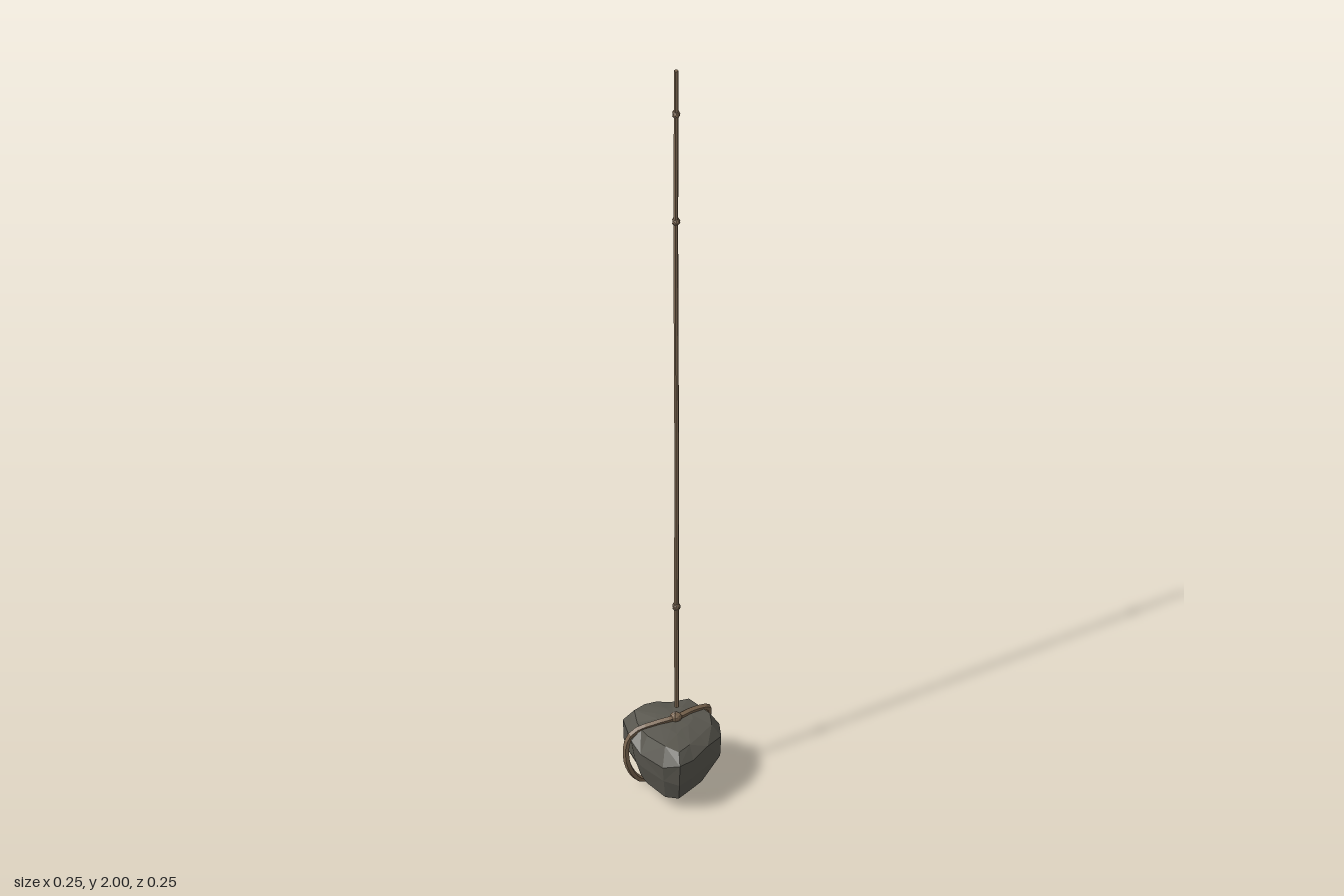
import * as THREE from 'three';

export function createModel() {
  const model = new THREE.Group();
  model.name = 'hangingStone';

  const material = (name, color) => {
    const m = new THREE.MeshStandardMaterial({ color, flatShading: true });
    m.name = name;
    return m;
  };
  const stoneGrey = material('stoneGrey', 0x59574f);
  const ropeBrown = material('ropeBrown', 0x7b6650);

  const add = (name, geometry, mat, x = 0, y = 0, z = 0) => {
    const mesh = new THREE.Mesh(geometry, mat);
    mesh.name = name;
    mesh.position.set(x, y, z);
    model.add(mesh);
    return mesh;
  };

  let seed = 11;
  const jitter = (amount) => {
    seed = (seed * 16807) % 2147483647;
    return (seed / 2147483647 - 0.5) * 2 * amount;
  };

  // Boulder: plan outline (x, z) scaled through a stack of levels
  const outline = [
    [-0.045, -0.127], [0, -0.126], [0.04, -0.115], [0.075, -0.09], [0.11, -0.05],
    [0.111, 0], [0.1, 0.05], [0.07, 0.085], [0, 0.108], [-0.06, 0.118],
    [-0.11, 0.122], [-0.125, 0.08], [-0.118, 0], [-0.108, -0.04], [-0.08, -0.078],
  ];
  // [height, scale, roughness]
  const levels = [
    [0.014, 0.5, 0.002], [0.036, 0.78, 0.007], [0.085, 0.95, 0.009],
    [0.137, 1, 0.01], [0.169, 0.8, 0.005], [0.178, 0.4, 0.002],
  ];
  const count = outline.length;
  const points = [];
  for (const [y, scale, rough] of levels) {
    for (const [x, z] of outline) {
      const s = scale === 1 ? 1 : scale + jitter(0.04);
      points.push(x * s, y + jitter(rough), z * s);
    }
  }
  const bottom = points.length / 3;
  points.push(0, 0.012, 0, 0, 0.18, 0);
  const faces = [];
  const last = (levels.length - 1) * count;
  for (let i = 0; i < count; i++) {
    const j = (i + 1) % count;
    for (let k = 0; k < last; k += count) {
      const a = k + i, b = k + j, c = b + count, d = a + count;
      if ((i + k / count) % 2) faces.push(a, d, c, a, c, b);
      else faces.push(a, d, b, b, d, c);
    }
    faces.push(bottom, i, j, bottom + 1, last + j, last + i);
  }
  const rock = new THREE.BufferGeometry();
  rock.setAttribute('position', new THREE.Float32BufferAttribute(points, 3));
  rock.setIndex(faces);
  rock.computeVertexNormals();
  add('boulder', rock, stoneGrey);

  // Rope loop tied around the boulder
  const loop = new THREE.CatmullRomCurve3([
    [-0.005, 0.186, 0.008], [0.05, 0.183, 0.01], [0.104, 0.165, 0.008],
    [0.117, 0.135, -0.004], [0.114, 0.065, -0.015], [0.062, 0.014, -0.036],
    [0, 0.008, -0.045], [-0.062, 0.013, -0.052], [-0.102, 0.07, -0.056],
    [-0.107, 0.135, -0.054], [-0.094, 0.165, -0.042], [-0.05, 0.18, -0.015],
  ].map((p) => new THREE.Vector3(...p)), true, 'centripetal');
  add('bindingLoop', new THREE.TubeGeometry(loop, 36, 0.008, 5, true), ropeBrown);

  // Knot on top of the boulder
  const knotX = -0.005, knotZ = 0.008;
  add('bindingKnot', new THREE.IcosahedronGeometry(0.013, 1), ropeBrown, knotX, 0.187, knotZ);
  for (const turn of [0.6, -0.9]) {
    const wrap = add('bindingKnotWrap', new THREE.TorusGeometry(0.01, 0.005, 5, 9), ropeBrown, knotX, 0.187, knotZ);
    wrap.rotation.y = turn;
  }

  // Hanging rope with a slight wander
  const rope = new THREE.CatmullRomCurve3([
    [-0.004, 0.216], [-0.005, 0.5], [-0.004, 0.9], [-0.006, 1.25],
    [-0.007, 1.58], [-0.006, 1.88], [-0.006, 2],
  ].map(([x, y]) => new THREE.Vector3(x, y, 0.01)));
  add('hangingRope', new THREE.TubeGeometry(rope, 24, 0.0058, 6), ropeBrown);
  for (const y of [0.216, 2]) {
    const cap = add('ropeEnd', new THREE.CircleGeometry(0.0058, 6), ropeBrown, y < 1 ? -0.004 : -0.006, y, 0.01);
    cap.rotation.x = y < 1 ? Math.PI / 2 : -Math.PI / 2;
  }

  // Knots along the rope
  for (const y of [0.497, 1.577, 1.878]) {
    const x = y < 1 ? -0.005 : -0.006;
    add('ropeKnot', new THREE.IcosahedronGeometry(0.0095, 1), ropeBrown, x, y, 0.01);
    for (const side of [-1, 1]) {
      const wrap = add('ropeKnotWrap', new THREE.TorusGeometry(0.0065, 0.0035, 5, 8), ropeBrown, x, y + side * 0.004, 0.01);
      wrap.rotation.set(Math.PI / 2 + side * 0.25, 0, 0);
    }
  }
  return model;
}
